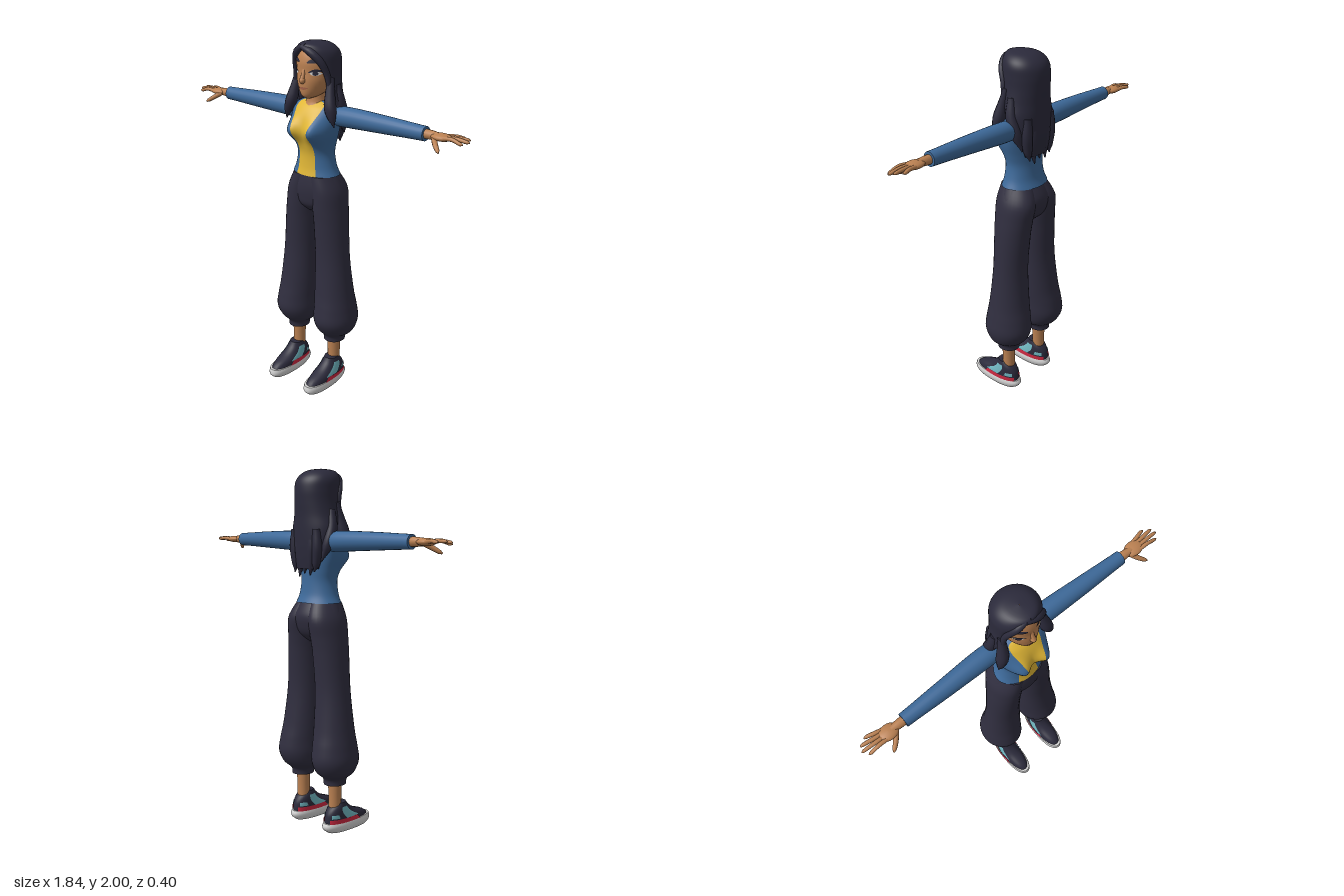
import * as THREE from 'three';

const paint = (name, color, side = THREE.FrontSide) => {
  const m = new THREE.MeshStandardMaterial({ color, side });
  m.name = name;
  return m;
};

// Catmull-Rom interpolation of every column of a table of cross-sections
const sample = (rows, t) => {
  const n = rows.length - 1, f = Math.min(Math.max(t, 0) * n, n - 1e-7), i = Math.floor(f), s = f - i;
  return rows[i].map((b, k) => {
    const a = rows[Math.max(i - 1, 0)][k], c = rows[i + 1][k], d = rows[Math.min(i + 2, n)][k];
    return 0.5 * (2 * b + (c - a) * s + (2 * a - 5 * b + 4 * c - d) * s * s + (3 * b - a - 3 * c + d) * s * s * s);
  });
};

// Surface from rows of points; wrap joins the first and last column
const skinRows = (rows, wrap) => {
  const n = rows[0].length, pos = rows.flat(2), idx = [];
  for (let j = 0; j < rows.length - 1; j++) {
    for (let i = 0; i < (wrap ? n : n - 1); i++) {
      const a = j * n + i, b = j * n + (i + 1) % n;
      idx.push(a, b, a + n, b, b + n, a + n);
    }
  }
  const g = new THREE.BufferGeometry();
  g.setAttribute('position', new THREE.Float32BufferAttribute(pos, 3));
  g.setIndex(idx);
  g.computeVertexNormals();
  return g;
};
const sheet = (fn, nu, nv) => skinRows(Array.from({ length: nv + 1 }, (_, j) =>
  Array.from({ length: nu + 1 }, (_, i) => fn(i / nu, j / nv))), false);
const tubeOf = (fn, centre, nu, nv) => {
  const rows = Array.from({ length: nv + 1 }, (_, j) =>
    Array.from({ length: nu }, (_, i) => fn(i / nu * Math.PI * 2, j / nv)));
  const cap = (t) => rows[0].map(() => centre(t));
  return skinRows([cap(0), rows[0], ...rows, rows[nv], cap(1)], true);
};

// Upright loft: rows of [y, centre x, centre z, half width, front depth, back depth], bottom to top
const power = (v, e) => Math.sign(v) * Math.abs(v) ** e;
const loftPoint = (rows, a, t, off = 0, e = 1) => {
  const [y, cx, cz, rx, rf, rb] = sample(rows, t), c = power(Math.cos(a), e);
  return [cx + (rx + off) * power(Math.sin(a), e), y, cz + ((c > 0 ? rf : rb) + off) * c];
};
const loft = (rows, nu = 32, nv = 32, e = 1) => tubeOf((a, t) => loftPoint(rows, a, t, 0, e),
  (t) => { const r = sample(rows, t); return [r[1], r[0], r[2]]; }, nu, nv);

// Round sweep along a smooth path: points [x, y, z, radius]
const sweep = (pts, nu = 12, nv = 14) => {
  const curve = new THREE.CatmullRomCurve3(pts.map((p) => new THREE.Vector3(p[0], p[1], p[2])));
  const { normals, binormals } = curve.computeFrenetFrames(nv);
  return tubeOf((a, t) => {
    const k = Math.round(t * nv), r = sample(pts, t)[3];
    return curve.getPoint(t).addScaledVector(normals[k], r * Math.cos(a))
      .addScaledVector(binormals[k], r * Math.sin(a)).toArray();
  }, (t) => curve.getPoint(t).toArray(), nu, nv);
};
const ball = (x, y, z, rx, ry, rz) => new THREE.SphereGeometry(1, 20, 14).scale(rx, ry, rz).translate(x, y, z);
const mirrored = (geo) => {
  const g = geo.clone().scale(-1, 1, 1), ix = g.index.array;
  for (let i = 0; i < ix.length; i += 3) [ix[i], ix[i + 1]] = [ix[i + 1], ix[i]];
  g.computeVertexNormals();
  return g;
};

export function createModel() {
  const model = new THREE.Group();
  const skin = paint('skin', 0xbb8152), hair = paint('dark hair', 0x2b2a3b, THREE.DoubleSide);
  const cloth = paint('trouser cloth', 0x302e3f), blue = paint('jacket blue', 0x3d6999, THREE.DoubleSide);
  const yellow = paint('shirt yellow', 0xe0b636, THREE.DoubleSide), teal = paint('shoe teal', 0x6fb4be, THREE.DoubleSide);
  const red = paint('shoe red', 0xcc2840, THREE.DoubleSide), white = paint('sole white', 0xd4d4d4);
  const grey = paint('tread grey', 0x77777b), lip = paint('lip', 0xa4634a);
  const add = (name, geo, mat) => {
    const m = new THREE.Mesh(geo, mat);
    m.name = name;
    model.add(m);
  };
  const pair = (name, geo, mat) => {
    add(name + 'Left', geo, mat);
    add(name + 'Right', mirrored(geo), mat);
  };

  // Trousers
  pair('trouserLeg', loft([
    [0.28, 0.137, -0.057, 0.06, 0.065, 0.065], [0.315, 0.137, -0.057, 0.066, 0.07, 0.07],
    [0.355, 0.14, -0.06, 0.108, 0.108, 0.11], [0.42, 0.143, -0.06, 0.124, 0.138, 0.138],
    [0.5, 0.139, -0.06, 0.119, 0.13, 0.13], [0.6, 0.13, -0.058, 0.112, 0.113, 0.113],
    [0.8, 0.117, -0.056, 0.1, 0.096, 0.096], [1.0, 0.104, -0.058, 0.096, 0.103, 0.103],
    [1.1, 0.094, -0.06, 0.094, 0.11, 0.112], [1.2, 0.082, -0.06, 0.088, 0.112, 0.124],
    [1.285, 0.055, -0.05, 0.073, 0.095, 0.098]], 32, 50), cloth);
  add('hips', loft([
    [1.07, 0, -0.06, 0.05, 0.06, 0.05], [1.11, 0, -0.06, 0.14, 0.098, 0.095], [1.16, 0, -0.06, 0.174, 0.11, 0.117],
    [1.22, 0, -0.06, 0.162, 0.113, 0.122], [1.295, 0, -0.05, 0.125, 0.095, 0.098]]), cloth);
  pair('ankle', loft([[0.1, 0.135, -0.055, 0.036, 0.036, 0.036], [0.2, 0.135, -0.055, 0.036, 0.036, 0.036],
    [0.3, 0.135, -0.055, 0.04, 0.04, 0.04]], 20, 8), skin);

  // Shoes: sole, upper, side panels and stripe
  pair('sole', loft([[0.002, 0.137, 0.03, 0.05, 0.15, 0.14], [0.02, 0.137, 0.03, 0.06, 0.168, 0.162],
    [0.04, 0.137, 0.03, 0.063, 0.17, 0.17], [0.058, 0.137, 0.03, 0.059, 0.165, 0.162]], 32, 8, 0.85), white);
  const upper = [[0.045, 0.137, 0.03, 0.057, 0.162, 0.155], [0.08, 0.137, 0, 0.055, 0.155, 0.122],
    [0.11, 0.137, -0.03, 0.051, 0.11, 0.085], [0.14, 0.137, -0.04, 0.046, 0.075, 0.055],
    [0.168, 0.137, -0.03, 0.037, 0.043, 0.03]];
  pair('shoeUpper', loft(upper, 32, 16, 0.9), hair);
  const panel = (a0, a1, t0, t1, off) => sheet((u, v) =>
    loftPoint(upper, a0 + (a1 - a0) * u, t0 + (t1 - t0) * v, off, 0.9), 14, 6);
  for (const [side, s] of [['outer', 1], ['inner', -1]]) {
    const span = (a, b) => (s > 0 ? [a, b] : [-b, -a]);
    pair(side + 'ShoePanel', panel(...span(1.1, 1.65), 0.25, 0.8, 0.003), teal);
    pair(side + 'HeelPanel', panel(...span(2.0, 2.6), 0.3, 0.48, 0.003), teal);
    pair(side + 'ShoeStripe', panel(...span(1.2, 2.75), 0.1, 0.26, 0.006), red);
  }
  for (let i = 0; i < 6; i++) {
    pair('tread' + i, new THREE.BoxGeometry(0.07, 0.004, 0.008).translate(0.137, 0.002, -0.07 + i * 0.04), grey);
  }

  // Torso: rows of [y, centre z, half width, front depth, back depth, half width of the shirt opening]
  const torso = [[1.285, -0.05, 0.142, 0.098, 0.112, 0.066], [1.33, -0.05, 0.122, 0.09, 0.096, 0.058],
    [1.4, -0.05, 0.109, 0.088, 0.088, 0.053], [1.46, -0.05, 0.12, 0.1, 0.088, 0.051],
    [1.53, -0.05, 0.14, 0.122, 0.09, 0.053], [1.6, -0.055, 0.148, 0.112, 0.09, 0.07],
    [1.65, -0.06, 0.142, 0.09, 0.08, 0.085], [1.677, -0.06, 0.105, 0.062, 0.065, 0.08],
    [1.69, -0.055, 0.06, 0.04, 0.045, 0.045]];
  const opening = (t) => { const r = sample(torso, t); return Math.asin(Math.min(0.97, r[5] / r[2])); };
  const torsoPoint = (a, t) => {
    const [y, cz, rx, rf, rb] = sample(torso, t), x = rx * Math.sin(a), c = Math.cos(a);
    const bust = 0.05 * Math.exp(-(((Math.abs(x) - 0.075) / 0.045) ** 2) - ((y - 1.535) / 0.06) ** 2);
    return [x, y, cz + (c > 0 ? rf : rb) * c + bust * Math.max(0, Math.min(1, c * 2))];
  };
  add('jacket', sheet((u, t) => { const p = opening(t); return torsoPoint(p + (2 * Math.PI - 2 * p) * u, t); }, 56, 40), blue);
  add('shirt', sheet((u, t) => torsoPoint(opening(t) * (2 * u - 1), t), 16, 40), yellow);

  // Sleeves and hands
  pair('sleeve', sweep([[0.08, 1.612, -0.07, 0.05], [0.2, 1.617, -0.072, 0.054], [0.45, 1.62, -0.066, 0.046],
    [0.68, 1.62, -0.062, 0.037]], 24, 20), blue);
  pair('wrist', sweep([[0.66, 1.62, -0.062, 0.024], [0.7, 1.62, -0.062, 0.024], [0.75, 1.62, -0.06, 0.02]]), skin);
  pair('palm', ball(0.768, 1.62, -0.06, 0.056, 0.019, 0.041), skin);
  [[-0.036, -0.032, 0.9, 1.612], [-0.053, -0.058, 0.92, 1.62], [-0.07, -0.083, 0.91, 1.625],
    [-0.086, -0.106, 0.875, 1.622]].forEach(([z0, z1, x, y], i) => {
    pair('finger' + i, sweep([[0.78, 1.62, z0, 0.011], [(0.78 + x) / 2, 1.626, (z0 + z1) / 2, 0.0105],
      [x - 0.012, y, z1, 0.0085], [x, y - 0.001, z1, 0.003]], 10, 12), skin);
  });
  pair('thumb', sweep([[0.735, 1.615, -0.045, 0.014], [0.765, 1.592, -0.012, 0.013], [0.792, 1.572, 0.01, 0.01],
    [0.802, 1.565, 0.018, 0.004]], 10, 12), skin);

  // Neck and head
  add('neck', loft([[1.63, 0, -0.05, 0.08, 0.08, 0.06], [1.66, 0, -0.05, 0.073, 0.068, 0.055],
    [1.69, 0, -0.047, 0.052, 0.052, 0.05], [1.76, 0, -0.045, 0.044, 0.045, 0.045]], 24, 14), skin);
  const head = [[1.706, 0, 0.015, 0.012, 0.014, 0.02], [1.72, 0, -0.01, 0.043, 0.062, 0.05],
    [1.75, 0, -0.04, 0.073, 0.101, 0.07], [1.8, 0, -0.05, 0.096, 0.113, 0.1], [1.85, 0, -0.055, 0.103, 0.113, 0.11],
    [1.9, 0, -0.055, 0.104, 0.112, 0.115], [1.95, 0, -0.055, 0.09, 0.092, 0.1], [1.98, 0, -0.055, 0.04, 0.04, 0.05]];
  add('head', loft(head, 40, 40), skin);
  add('nose', ball(0, 1.805, 0.064, 0.016, 0.017, 0.019), skin);
  add('noseBridge', sweep([[0, 1.86, 0.048, 0.011], [0, 1.83, 0.06, 0.011], [0, 1.806, 0.071, 0.012]]), skin);

  // Thin face details that follow the head surface
  const onFace = (x, y, off) => {
    let lo = 0, hi = 1;
    for (let i = 0; i < 24; i++) { const m = (lo + hi) / 2; if (sample(head, m)[0] < y) lo = m; else hi = m; }
    return loftPoint(head, Math.asin(x / sample(head, lo)[3]), lo, off);
  };
  const decal = (x0, x1, mid, half, off) => sheet((u, v) =>
    onFace(x0 + (x1 - x0) * u, mid(u) + half(u) * (2 * v - 1), off), 14, 4);
  const arch = (u) => Math.max(0, Math.sin(Math.PI * u));
  pair('eyeWhite', decal(0.036, 0.088, () => 1.844, (u) => 0.012 * arch(u), 0.002), white);
  pair('iris', decal(0.05, 0.074, () => 1.845, (u) => 0.011 * Math.sqrt(arch(u)), 0.004), hair);
  pair('eyelash', decal(0.03, 0.094, (u) => 1.847 + 0.01 * arch(u) + 0.006 * u, (u) => 0.006 * Math.sqrt(arch(u)), 0.005), hair);
  pair('eyebrow', decal(0.022, 0.094, (u) => 1.898 + 0.01 * arch(u), (u) => 0.0105 * Math.sqrt(arch(u)), 0.004), hair);
  add('lips', decal(-0.032, 0.032, (u) => 1.768 - 0.004 * arch(u), (u) => 0.007 * arch(u), 0.002), lip);

  // Hair shell: [y, centre z, half width, front, back, face opening on +x, face opening on -x]
  const shell = [[1.47, -0.13, 0.09, 0.01, 0.036, 1.5, 1.5], [1.53, -0.12, 0.112, 0.02, 0.053, 1.5, 1.5],
    [1.6, -0.09, 0.14, 0.05, 0.088, 1.5, 1.5], [1.68, -0.07, 0.15, 0.08, 0.11, 1.2, 1.2],
    [1.75, -0.06, 0.137, 0.1, 0.12, 1.05, 1.05], [1.82, -0.06, 0.127, 0.11, 0.124, 1.0, 1.0],
    [1.88, -0.06, 0.125, 0.115, 0.126, 0.85, 0.95], [1.93, -0.06, 0.122, 0.118, 0.118, 0.35, 0.65],
    [1.965, -0.055, 0.104, 0.112, 0.098, 0.05, 0.2], [1.99, -0.045, 0.066, 0.085, 0.065, 0, 0], [2.0, -0.035, 0.001, 0.001, 0.001, 0, 0]];
  add('hairShell', sheet((u, t) => {
    const [y, cz, rx, rf, rb, p0, p1] = sample(shell, t), a0 = Math.max(0, p0), a1 = Math.max(0, p1);
    const a = a0 + (2 * Math.PI - a0 - a1) * u, edge = Math.max(0, 1 - Math.min(u, 1 - u) / 0.06) ** 2;
    const k = 1 - 0.16 * edge * Math.min(1, a0 + a1), c = Math.cos(a);
    return [k * rx * Math.sin(a), y, cz + k * (c > 0 ? rf : rb) * c];
  }, 56, 50), hair);

  // Fringe, front strands and back locks
  add('fringeLeft', sweep([[-0.025, 1.972, 0.04, 0.014], [0.035, 1.953, 0.045, 0.021], [0.082, 1.91, 0.026, 0.02],
    [0.106, 1.84, -0.005, 0.017], [0.118, 1.76, -0.015, 0.014]]), hair);
  add('fringeRight', sweep([[-0.02, 1.975, 0.04, 0.012], [-0.06, 1.95, 0.034, 0.019], [-0.094, 1.9, 0.01, 0.018],
    [-0.108, 1.84, -0.01, 0.016], [-0.118, 1.76, -0.015, 0.014]]), hair);
  pair('frontStrand', sweep([[0.112, 1.82, -0.03, 0.018], [0.122, 1.74, -0.012, 0.026], [0.135, 1.67, 0.002, 0.033],
    [0.152, 1.62, 0.008, 0.022], [0.165, 1.572, 0.005, 0.003]]), hair);
  pair('sideStrand', sweep([[0.118, 1.78, -0.07, 0.022], [0.135, 1.69, -0.08, 0.03], [0.135, 1.6, -0.11, 0.03],
    [0.118, 1.51, -0.14, 0.004]]), hair);
  [[-0.08, 1.455], [-0.045, 1.435], [0, 1.445], [0.04, 1.425], [0.078, 1.45]].forEach(([x, y], i) => {
    add('backLock' + i, sweep([[x * 1.1, 1.68, -0.145, 0.024], [x * 1.15, 1.58, -0.145, 0.03],
      [x * 1.05, 1.5, -0.146, 0.023], [x, y, -0.157, 0.003]]), hair);
  });
  return model;
}
